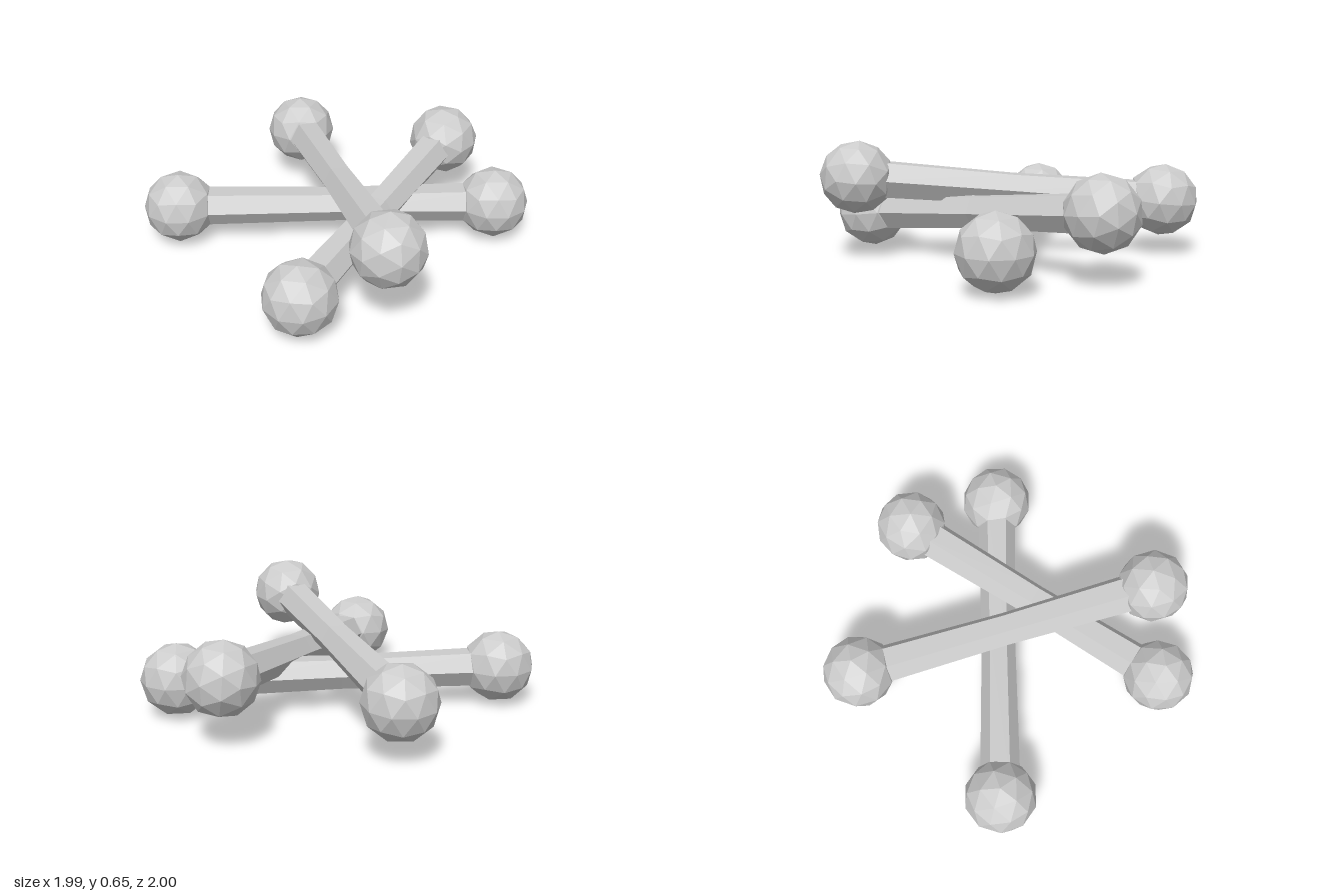
import * as THREE from 'three';

const material = new THREE.MeshStandardMaterial({ color: 0xcccccc, flatShading: true });

// Low-poly knob with one five-sided corner pointing up, rolled about the shaft
function makeKnob(name, x, roll) {
  const geometry = new THREE.IcosahedronGeometry(0.198, 1);
  geometry.rotateZ(-Math.atan(2 / (1 + Math.sqrt(5))));
  geometry.rotateY(Math.PI / 2);
  geometry.rotateX(roll);
  const knob = new THREE.Mesh(geometry, material);
  knob.name = name;
  knob.position.x = x;
  return knob;
}

// One bone lying along local x, then aimed from one knob centre to the other
function makeBone(name, from, to, rolls) {
  const a = new THREE.Vector3(...from);
  const b = new THREE.Vector3(...to);
  const d = b.clone().sub(a);
  const half = d.length() / 2;
  const bone = new THREE.Group();
  bone.name = name;

  // Six-sided shaft, slimmer at the waist, ends buried in the knobs
  const profile = [[0.108, -half + 0.08], [0.094, 0], [0.108, half - 0.08]]
    .map(([r, y]) => new THREE.Vector2(r, y));
  const shaftGeometry = new THREE.LatheGeometry(profile, 6);
  shaftGeometry.rotateZ(-Math.PI / 2);
  const shaft = new THREE.Mesh(shaftGeometry, material);
  shaft.name = 'shaft';

  bone.add(shaft, makeKnob('knobStart', -half, rolls[0]), makeKnob('knobEnd', half, rolls[1]));
  bone.position.copy(a).add(b).multiplyScalar(0.5);
  bone.rotation.order = 'YZX';
  bone.rotation.y = Math.atan2(-d.z, d.x);
  bone.rotation.z = Math.atan2(d.y, Math.hypot(d.x, d.z));
  return bone;
}

export function createModel() {
  const model = new THREE.Group();
  model.name = 'bonePile';
  model.add(
    makeBone('lowerBone', [-0.8, 0.22, 0.265], [0.8, 0.22, -0.465], [0, 0]),
    makeBone('middleBone', [0.175, 0.21, 0.795], [0.39, 0.375, -0.81], [0, 0.5]),
    makeBone('upperBone', [-0.495, 0.315, -0.715], [0.555, 0.465, 0.585], [0, 0.5]),
  );
  return model;
}
